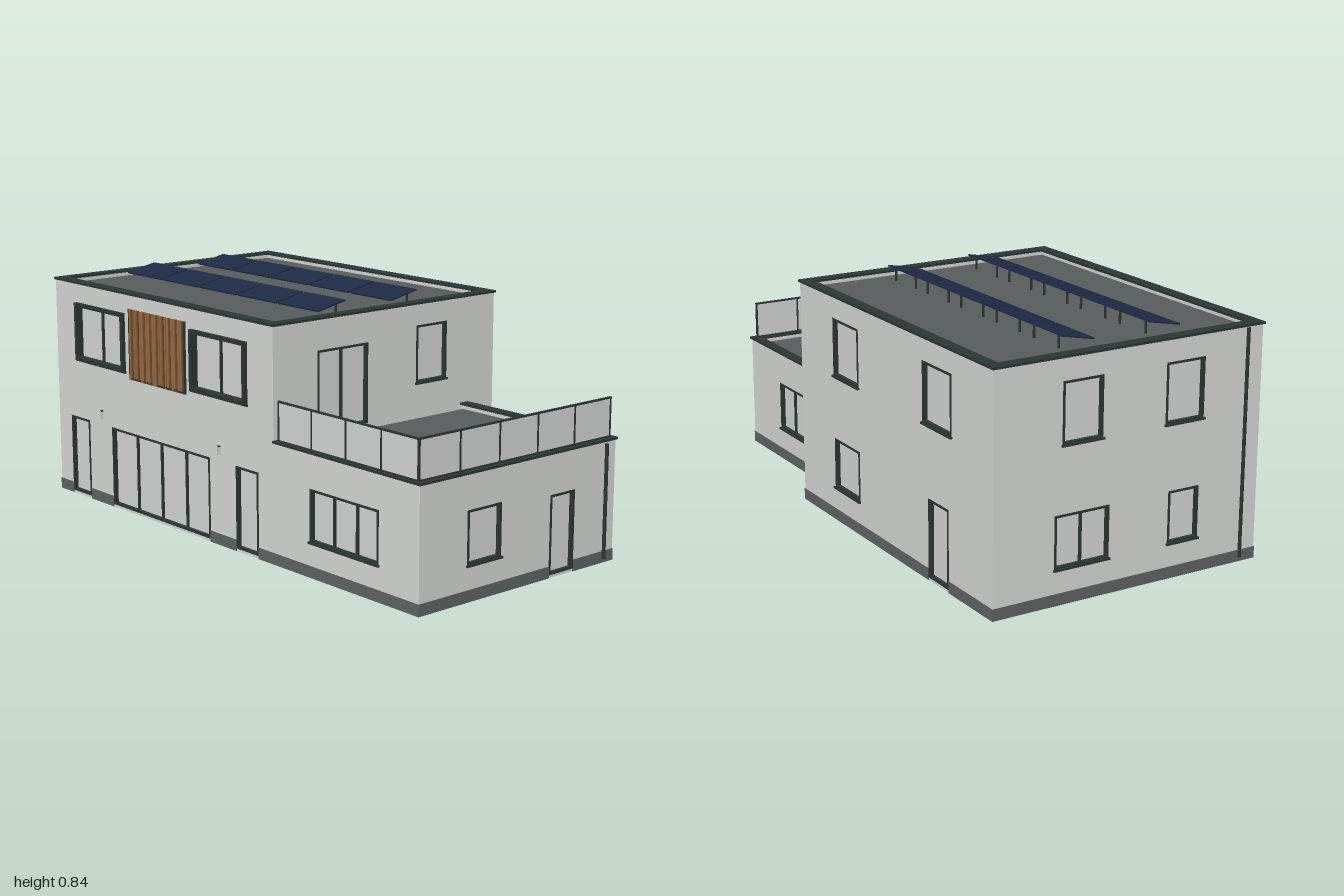
import * as THREE from 'three';

const mat = (name, color) => new THREE.MeshStandardMaterial({ name, color });

export function createModel() {
  const render = mat('wall render', 0xd6d9d6);
  const glass = mat('pane', 0xd3d7d5);
  const dark = mat('dark trim', 0x2c3634);
  const stone = mat('plinth grey', 0x606464);
  const deck = mat('roof grey', 0x585c5d);
  const solar = mat('solar blue', 0x1f2a45);
  const wood = mat('light wood', 0x9a6a42);
  const woodDark = mat('dark wood', 0x6e4a2e);
  const blueGrey = mat('blue grey', 0x71858a);

  const house = new THREE.Group();
  house.name = 'house';

  // Box given by its min and max on each axis
  const box = (parent, name, m, x0, x1, y0, y1, z0, z1) => {
    const mesh = new THREE.Mesh(new THREE.BoxGeometry(x1 - x0, y1 - y0, z1 - z0), m);
    mesh.position.set((x0 + x1) / 2, (y0 + y1) / 2, (z0 + z1) / 2);
    mesh.name = name;
    parent.add(mesh);
    return mesh;
  };

  const T = 0.03;
  const PLINTH = 0.04;

  // Recessed frame, pane, mullions and sill for one opening [u0, u1, y0, y1]
  const fillOpening = (parent, o) => {
    const g = new THREE.Group();
    g.name = o.door ? 'door' : 'window';
    parent.add(g);
    const { u0, u1, y0, y1 } = o;
    const f = o.frame ?? 0.008, out = o.out ?? 0.002, back = -0.022;
    box(g, 'pane', o.pane ?? glass, u0, u1, y0, y1, -0.02, -0.014);
    box(g, 'innerPanel', deck, u0, u1, y0, y1, -0.027, -0.02);
    box(g, 'frameSide', dark, u0, u0 + f, y0, y1, back, out);
    box(g, 'frameSide', dark, u1 - f, u1, y0, y1, back, out);
    box(g, 'frameTop', dark, u0, u1, y1 - f, y1, back, out);
    box(g, 'frameBottom', dark, u0, u1, y0, y0 + f, back, out);
    for (let i = 1; i < (o.panes ?? 1); i++) {
      const u = u0 + (u1 - u0) * i / o.panes;
      box(g, 'mullion', dark, u - 0.004, u + 0.004, y0, y1, back, -0.006);
    }
    if (!o.door) box(g, 'sill', dark, u0 - 0.004, u1 + 0.004, y0 - 0.004, y0 + 0.003, -0.014, 0.008);
  };

  // Wall in its own frame: u runs along it, the outer face is z = 0
  const wall = (name, u0, u1, h, openings, x, z, turn) => {
    const g = new THREE.Group();
    g.name = name;
    g.position.set(x, 0, z);
    g.rotation.y = turn;
    const shape = new THREE.Shape([[u0, 0], [u1, 0], [u1, h], [u0, h]].map(p => new THREE.Vector2(...p)));
    for (const o of openings) {
      shape.holes.push(new THREE.Path([[o.u0, o.y0], [o.u0, o.y1], [o.u1, o.y1], [o.u1, o.y0]]
        .map(p => new THREE.Vector2(...p))));
      fillOpening(g, o);
    }
    const skin = new THREE.Mesh(new THREE.ExtrudeGeometry(shape, { depth: T, bevelEnabled: false }), render);
    skin.position.z = -T;
    skin.name = 'wallSkin';
    g.add(skin);
    // Plinth broken at the doors
    let from = u0 - 0.002;
    const doors = openings.filter(o => o.door && o.y0 < PLINTH).sort((a, b) => a.u0 - b.u0);
    for (const d of [...doors, { u0: u1 + 0.002 }]) {
      box(g, 'plinth', stone, from, d.u0, 0, PLINTH, -T - 0.002, 0.002);
      from = d.u1;
    }
    house.add(g);
    return g;
  };

  const win = (u0, u1, y0, y1, panes = 1, extra = {}) => ({ u0, u1, y0, y1, panes, ...extra });
  const door = (u0, u1, y1, panes = 1, y0 = 0.01) => ({ u0, u1, y0, y1, panes, door: true });

  const L = -0.992, M = 0.285, R = 0.983, F = 0.505, B = -0.514, AB = -0.385;
  const H = 0.805, AH = 0.416;
  const LOW = [0.12, 0.3], UP = [0.525, 0.73];
  const bay = { frame: 0.014, out: 0.014 };

  // Main block
  const front = wall('mainFrontWall', L, M, H, [
    door(-0.91, -0.79, 0.3), door(-0.645, -0.06, 0.3, 4), door(0.085, 0.205, 0.3),
    win(-0.855, -0.55, 0.52, 0.735, 2, bay), win(-0.155, 0.15, 0.52, 0.735, 2, bay),
    win(-0.51, -0.195, 0.505, 0.75, 1, { pane: blueGrey, out: -0.002 }),
  ], 0, F, 0);
  wall('mainBackWall', -M, -L, H, [
    win(-0.04, 0.14, ...UP), win(0.57, 0.75, ...UP), win(-0.04, 0.14, ...LOW), door(0.605, 0.73, 0.28),
  ], 0, B, Math.PI);
  wall('mainRightWall', -F, -B, H, [
    door(-0.315, -0.09, 0.7, 2, 0.42), win(0.135, 0.28, ...UP),
  ], M, 0, Math.PI / 2);
  wall('mainLeftWall', B, F, H, [
    win(-0.265, -0.115, ...UP), win(0.125, 0.275, ...UP),
    win(-0.29, -0.085, ...LOW, 2), win(0.145, 0.265, ...LOW),
  ], L, 0, -Math.PI / 2);

  // Annex
  wall('annexFrontWall', M, R, AH, [win(0.47, 0.8, ...LOW, 3)], 0, F, 0);
  wall('annexBackWall', -R, -M, AH, [win(-0.74, -0.53, ...LOW, 2)], 0, AB, Math.PI);
  wall('annexRightWall', -F, -AB, AH, [win(-0.3, -0.15, ...LOW), door(0.075, 0.19, 0.28)], R, 0, Math.PI / 2);

  // Timber slat screen between the upper windows
  const screen = new THREE.Group();
  screen.name = 'slatScreen';
  front.add(screen);
  const slats = 26, pitch = 0.325 / slats;
  for (let i = 0; i < slats; i++) {
    const open = (i >= 1 && i < 5) || (i >= 14 && i < 18);
    const u = -0.515 + i * pitch;
    box(screen, 'slat', i % 3 === 1 ? woodDark : wood, u, u + pitch * (open ? 0.4 : 0.88), 0.5, 0.755, 0.001, 0.008);
  }
  for (const u of [-0.517, -0.192]) box(screen, 'screenEdge', dark, u, u + 0.004, 0.5, 0.755, 0, 0.009);

  // Wall lamps
  for (const x of [-0.705, -0.005]) {
    box(front, 'wallLamp', render, x - 0.004, x + 0.004, 0.322, 0.352, 0, 0.014);
    box(front, 'lampBracket', dark, x - 0.005, x + 0.005, 0.349, 0.353, 0, 0.01);
  }

  // Flat roofs with a cap frame; b = border widths left, right, front, back
  const roof = (name, x0, x1, z0, z1, top, deckY, b) => {
    const g = new THREE.Group();
    g.name = name;
    house.add(g);
    box(g, 'roofDeck', deck, x0 + 0.012, x1 - 0.012, deckY - 0.02, deckY, z0 + 0.012, z1 - 0.012);
    const y0 = top - 0.008;
    if (b[0]) box(g, 'roofCap', dark, x0, x0 + b[0], y0, top, z0, z1);
    box(g, 'roofCap', dark, x1 - b[1], x1, y0, top, z0, z1);
    box(g, 'roofCap', dark, x0 + b[0], x1 - b[1], y0, top, z1 - b[2], z1);
    box(g, 'roofCap', dark, x0 + b[0], x1 - b[1], y0, top, z0, z0 + b[3]);
  };
  roof('mainRoof', -0.998, 0.291, -0.519, 0.51, 0.812, 0.79, [0.043, 0.043, 0.043, 0.043]);
  roof('annexRoof', M, 0.989, -0.391, 0.51, 0.424, 0.403, [0, 0.036, 0.036, 0.038]);

  // Tilted solar panels, two rows of five
  const tilt = Math.atan2(0.025, 0.122);
  for (const zc of [0.189, -0.142]) {
    for (let i = 0; i < 5; i++) {
      const g = new THREE.Group();
      g.name = 'solarPanel';
      g.position.set(-0.783 + i * 0.2225, 0, zc);
      house.add(g);
      const panel = box(g, 'panelFace', solar, -0.106, 0.106, 0.824, 0.829, -0.062, 0.062);
      panel.rotation.x = tilt;
      for (const x of [-0.07, 0.07]) box(g, 'panelLeg', dark, x - 0.003, x + 0.003, 0.79, 0.835, -0.051, -0.045);
    }
  }

  // Terrace railing along a side, n panels
  const railing = (name, len, n, x, z, turn) => {
    const g = new THREE.Group();
    g.name = name;
    g.position.set(x, 0, z);
    g.rotation.y = turn;
    house.add(g);
    box(g, 'railingPanel', glass, 0, len, 0.428, 0.556, -0.0015, 0.0015);
    box(g, 'handrail', dark, -0.003, len + 0.003, 0.554, 0.56, -0.004, 0.004);
    box(g, 'bottomRail', dark, 0, len, 0.424, 0.429, -0.003, 0.003);
    for (let i = 0; i <= n; i++) {
      const u = len * i / n;
      box(g, 'railingPost', dark, u - 0.003, u + 0.003, 0.42, 0.558, -0.004, 0.004);
    }
  };
  railing('frontRailing', 0.664, 4, 0.303, 0.495, 0);
  railing('sideRailing', 0.865, 5, 0.967, 0.495, Math.PI / 2);

  // Downpipes
  const pipe = (x, z, y0, y1) => {
    const p = new THREE.Mesh(new THREE.CylinderGeometry(0.0065, 0.0065, y1 - y0, 12), dark);
    p.position.set(x, (y0 + y1) / 2, z);
    p.name = 'downpipe';
    house.add(p);
  };
  pipe(0.9905, -0.335, 0.015, 0.41);
  pipe(-0.9935, 0.445, 0.015, 0.8);

  return house;
}
